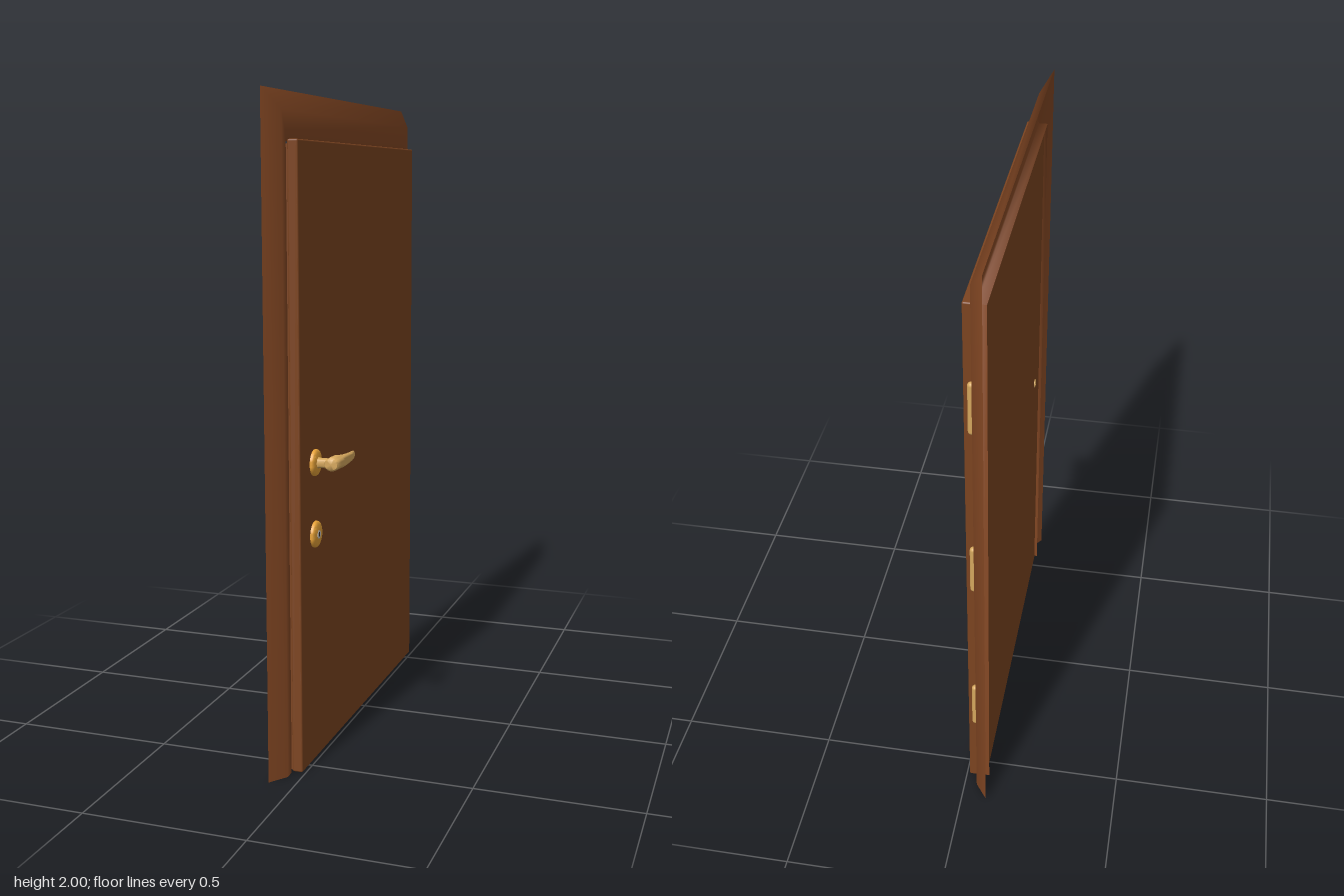
import * as THREE from 'three';
import { toCreasedNormals } from 'three/addons/utils/BufferGeometryUtils.js';
import { RoundedBoxGeometry } from 'three/addons/geometries/RoundedBoxGeometry.js';

const mat = (color, side = THREE.FrontSide) => new THREE.MeshStandardMaterial({ color, side });
const wood = mat(0x7c4420);
const frameWood = mat(0x834723, THREE.DoubleSide);
const brass = mat(0xe8a338);
const paleBrass = mat(0xd6a85e);
const steel = mat(0xcccccc);
const dark = mat(0x2a2018);

function add(parent, name, geometry, material, x = 0, y = 0, z = 0) {
  const mesh = new THREE.Mesh(geometry, material);
  mesh.name = name;
  mesh.position.set(x, y, z);
  parent.add(mesh);
  return mesh;
}

function indexed(positions, index) {
  const g = new THREE.BufferGeometry();
  g.setAttribute('position', new THREE.Float32BufferAttribute(positions, 3));
  g.setIndex(index);
  return g;
}

// Moulding swept up one jamb, over the head and down the other.
// Each profile point: [x, half width, top height], from outside to inside.
function frameGeometry(profile) {
  const pos = [], idx = [];
  for (const [x, w, h] of profile) pos.push(x, 0, w, x, h, w, x, h, -w, x, 0, -w);
  for (let i = 0; i < profile.length - 1; i++) {
    for (let k = 0; k < 3; k++) {
      const a = i * 4 + k, b = a + 4;
      idx.push(a, b, a + 1, a + 1, b, b + 1);
    }
  }
  const g = indexed(pos, idx);
  g.computeVertexNormals();
  return g;
}

// Oval sections [z, xMin, xMax, half height] lofted towards -z.
function leverGeometry(sections, sides = 24) {
  const pos = [], idx = [];
  for (const [z, x0, x1, ry] of sections) {
    for (let j = 0; j < sides; j++) {
      const t = (j / sides) * Math.PI * 2;
      pos.push((x0 + x1) / 2 + ((x1 - x0) / 2) * Math.cos(t), ry * Math.sin(t), z);
    }
  }
  for (let i = 0; i < sections.length - 1; i++) {
    for (let j = 0; j < sides; j++) {
      const k = (j + 1) % sides;
      const a = i * sides + j, b = i * sides + k;
      idx.push(a, a + sides, b, b, a + sides, b + sides);
    }
  }
  return toCreasedNormals(indexed(pos, idx), 0.8);
}

// Round piece turned about the x axis; points are [radius, x].
function turned(points) {
  const g = new THREE.LatheGeometry(points.map(([r, x]) => new THREE.Vector2(r, x)), 32);
  return toCreasedNormals(g.rotateZ(-Math.PI / 2), 0.7);
}

export function createModel() {
  const model = new THREE.Group();
  model.name = 'door';

  // Frame with splayed outer edge; its inner return sits behind the leaf's lip
  add(model, 'doorFrame', frameGeometry([
    [-0.08, 0.653, 2], [-0.04, 0.6, 1.94], [-0.041, 0.572, 1.885],
    [-0.043, 0.562, 1.866], [-0.048, 0.556, 1.858], [-0.075, 0.556, 1.858],
  ]), frameWood);

  // Rebated leaf: wide front panel, slightly smaller back panel
  add(model, 'leafFront', new RoundedBoxGeometry(0.032, 1.862, 1.12, 3, 0.005), wood, -0.025, 0.931, 0);
  add(model, 'leafBack', new THREE.BoxGeometry(0.026, 1.849, 1.096), wood, -0.053, 0.9255, 0);

  // Hinges on the far edge
  for (const y of [0.367, 0.955, 1.54]) {
    const hinge = new THREE.Group();
    hinge.name = 'hinge';
    hinge.position.set(-0.034, y, -0.572);
    add(hinge, 'hingeBarrel', new THREE.CapsuleGeometry(0.011, 0.15, 4, 16), paleBrass);
    add(hinge, 'hingeLeaf', new THREE.BoxGeometry(0.028, 0.16, 0.003), paleBrass, -0.017, 0, 0.0215);
    model.add(hinge);
  }

  const plate = [[0, -0.002], [0.04, -0.002], [0.04, 0.007], [0.037, 0.011], [0.03, 0.014], [0, 0.015]];
  const lockZ = 0.443;

  // Lever handle
  const handle = new THREE.Group();
  handle.name = 'handle';
  handle.position.set(0, 0.926, 0);
  add(handle, 'handleRosette', turned(plate), brass, -0.01, 0, lockZ);
  add(handle, 'handleNeck', turned([[0.017, 0], [0.015, 0.008], [0.015, 0.035]]), paleBrass, 0.003, 0, lockZ);
  add(handle, 'handleLever', leverGeometry([
    [0.464, 0.05, 0.05, 0], [0.464, 0.031, 0.07, 0.016], [0.46, 0.028, 0.073, 0.02],
    [0.435, 0.028, 0.074, 0.021], [0.412, 0.03, 0.074, 0.021], [0.404, 0.042, 0.074, 0.02],
    [0.39, 0.05, 0.074, 0.019], [0.36, 0.055, 0.073, 0.017], [0.325, 0.056, 0.071, 0.015],
    [0.3, 0.055, 0.068, 0.013], [0.285, 0.053, 0.064, 0.01], [0.28, 0.0575, 0.0575, 0],
  ]), paleBrass);
  // Spindle end on the back face
  const spindle = add(handle, 'spindleRing', new THREE.TorusGeometry(0.011, 0.004, 8, 20), paleBrass, -0.066, 0, lockZ);
  spindle.rotation.y = Math.PI / 2;
  model.add(handle);

  // Key escutcheon with cylinder
  const lock = new THREE.Group();
  lock.name = 'lock';
  lock.position.set(-0.01, 0.708, lockZ);
  add(lock, 'lockRosette', turned(plate), brass);
  add(lock, 'lockCylinder', turned([[0.013, 0.01], [0.013, 0.0155], [0, 0.0155]]), steel);
  add(lock, 'keySlot', new THREE.BoxGeometry(0.002, 0.014, 0.003), dark, 0.0152, 0, 0);
  model.add(lock);

  return model;
}
